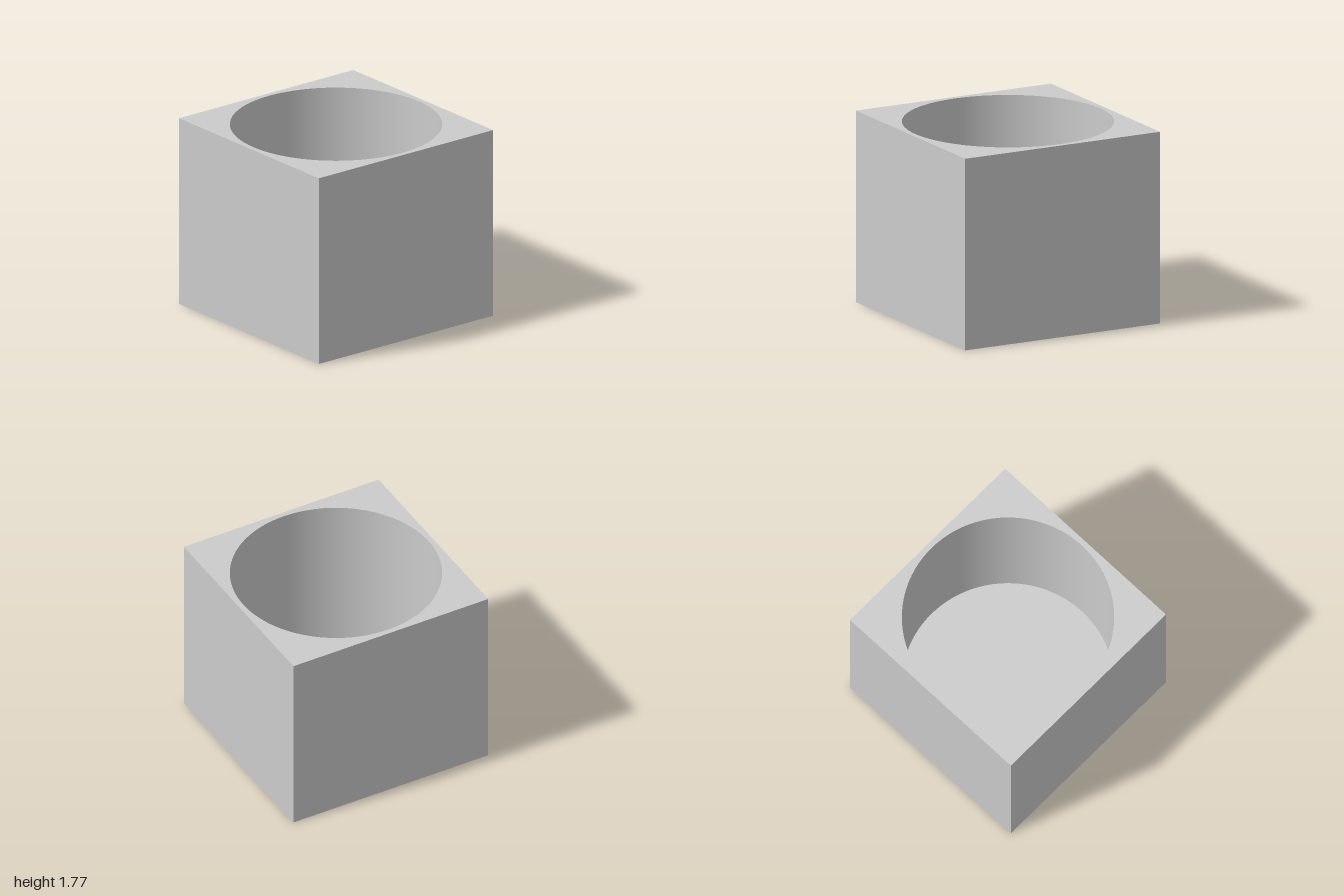
import * as THREE from 'three';

const HALF = 1, HEIGHT = 1.77, RADIUS = 0.95, FLOOR = 0.05, SEGMENTS = 96;

export function createModel() {
  const group = new THREE.Group();
  group.name = 'squarePot';
  const material = new THREE.MeshStandardMaterial({ color: 0xcccccc });

  const add = (name, geometry) => {
    const mesh = new THREE.Mesh(geometry, material);
    mesh.name = name;
    group.add(mesh);
  };

  // Four flat outer walls
  ['frontWall', 'leftWall', 'backWall', 'rightWall'].forEach((name, i) => {
    add(name, new THREE.PlaneGeometry(2 * HALF, HEIGHT)
      .translate(0, HEIGHT / 2, HALF)
      .rotateY(i * Math.PI / 2));
  });

  // Underside
  add('base', new THREE.PlaneGeometry(2 * HALF, 2 * HALF).rotateX(Math.PI / 2));

  // Square rim with a round opening
  const rim = new THREE.Shape([
    new THREE.Vector2(-HALF, -HALF), new THREE.Vector2(HALF, -HALF),
    new THREE.Vector2(HALF, HALF), new THREE.Vector2(-HALF, HALF),
  ]);
  rim.holes.push(new THREE.Path().absarc(0, 0, RADIUS, 0, Math.PI * 2, true));
  add('rim', new THREE.ShapeGeometry(rim, SEGMENTS).rotateX(-Math.PI / 2).translate(0, HEIGHT, 0));

  // Smooth cylindrical cavity; the profile runs downward so it faces inward
  add('cavityWall', new THREE.LatheGeometry([
    new THREE.Vector2(RADIUS, HEIGHT), new THREE.Vector2(RADIUS, FLOOR),
  ], SEGMENTS));
  add('cavityFloor', new THREE.CircleGeometry(RADIUS, SEGMENTS)
    .rotateX(-Math.PI / 2).translate(0, FLOOR, 0));

  return group;
}
